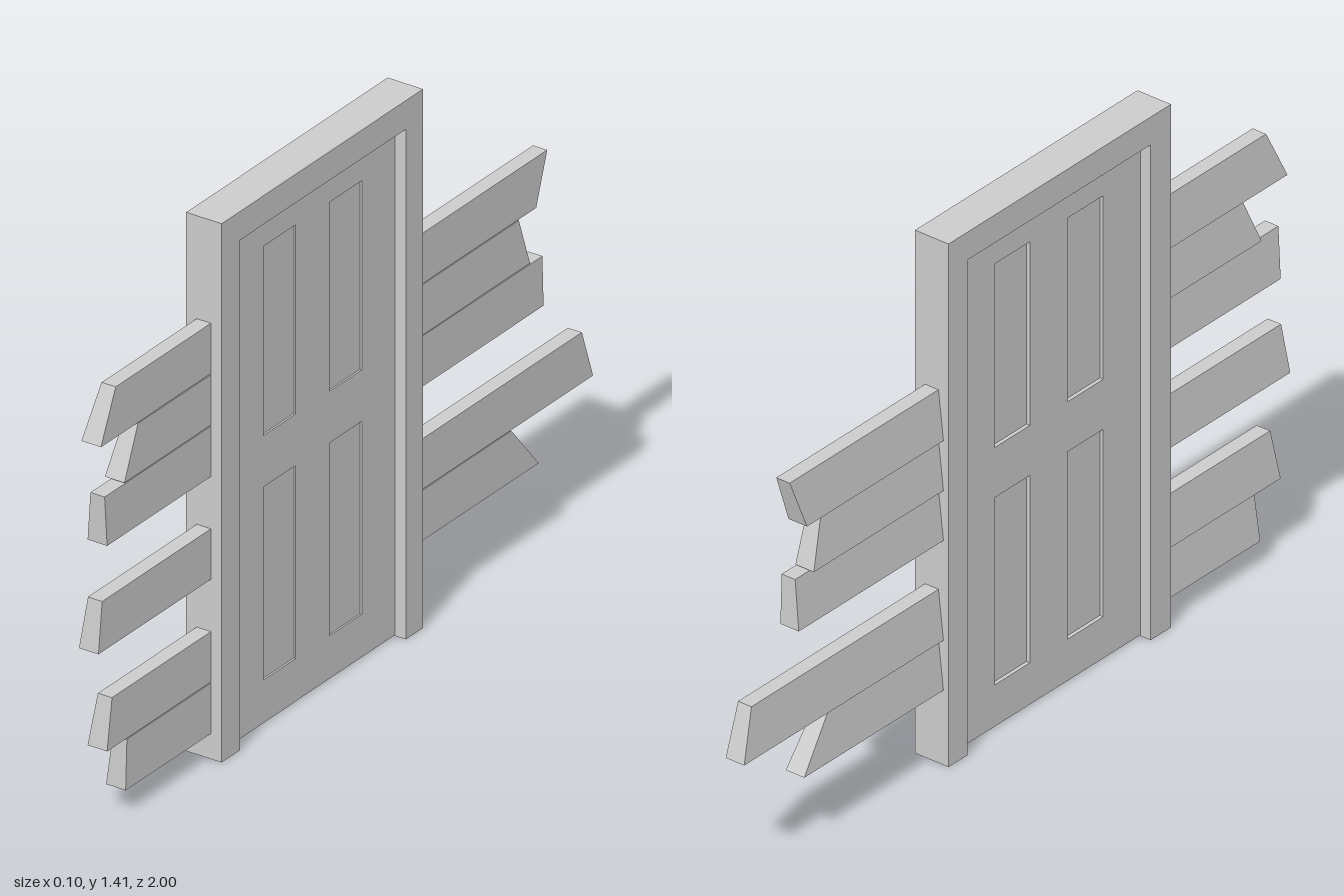
import * as THREE from 'three';

const material = new THREE.MeshStandardMaterial({ color: 0xcccccc, flatShading: true });

// Shape drawn in (z, y) from corner pairs
const outline = (pts) => new THREE.Shape(pts.map(([z, y]) => new THREE.Vector2(z, y)));

// Extrude a (z, y) shape across the thickness, from x0 to x1
function slab(shape, x0, x1) {
  const geo = new THREE.ExtrudeGeometry(shape, { depth: x1 - x0, bevelEnabled: false });
  return geo.rotateY(-Math.PI / 2).translate(x1, 0, 0);
}

function add(group, name, geo) {
  const mesh = new THREE.Mesh(geo, material);
  mesh.name = name;
  group.add(mesh);
}

// Clapboard: thicker at its lower edge on the -x face, with a ragged outer end
function clapboard(y, inner, endBottom, endTop) {
  const h = 0.132;
  const geo = slab(outline([[inner, y], [endBottom, y], [endTop, y + h], [inner, y + h]]), -0.02, 0.02);
  const pos = geo.attributes.position;
  for (let i = 0; i < pos.count; i++) {
    if (pos.getX(i) < 0) pos.setX(i, pos.getY(i) < y + h / 2 ? -0.035 : -0.02);
  }
  geo.computeVertexNormals();
  return geo;
}

export function createModel() {
  const model = new THREE.Group();
  model.name = 'doorWithBrokenSiding';

  // Door frame: two jambs and a header
  add(model, 'doorFrame', slab(outline([
    [-0.27, 0], [-0.2, 0], [-0.2, 1.335], [0.47, 1.335],
    [0.47, 0], [0.545, 0], [0.545, 1.41], [-0.27, 1.41],
  ]), -0.05, 0.05));

  // Door leaf with four recessed panels
  const leaf = outline([[-0.2, 0.003], [0.47, 0.003], [0.47, 1.335], [-0.2, 1.335]]);
  const panels = new THREE.Group();
  panels.name = 'doorPanels';
  for (const [z0, z1] of [[-0.065, 0.065], [0.203, 0.333]]) {
    for (const [y0, y1] of [[0.115, 0.62], [0.755, 1.25]]) {
      const corners = [[z0, y0], [z1, y0], [z1, y1], [z0, y1]];
      leaf.holes.push(outline(corners));
      add(panels, 'doorPanel', slab(outline(corners), -0.01, 0.015));
    }
  }
  add(model, 'doorLeaf', slab(leaf, -0.02, 0.02));
  model.add(panels);

  // Siding boards: row, end z at the bottom, end z at the top
  const siding = new THREE.Group();
  siding.name = 'siding';
  const boards = [
    [7, 0.99, 0.93], [6, 0.895, 0.84], [5, 0.965, 0.975],
    [3, 1.0, 0.985], [1, 0.965, 0.945], [0, 0.89, 0.885],
    [6, -0.77, -0.815], [5, -0.745, -0.7], [4, -0.8, -0.795],
    [2, -1.0, -0.955], [1, -0.78, -0.67],
  ];
  for (const [row, bottom, top] of boards) {
    const inner = bottom > 0 ? 0.54 : -0.265;
    add(siding, 'sidingBoard', clapboard(0.067 + row * 0.1345, inner, bottom, top));
  }
  model.add(siding);

  return model;
}
